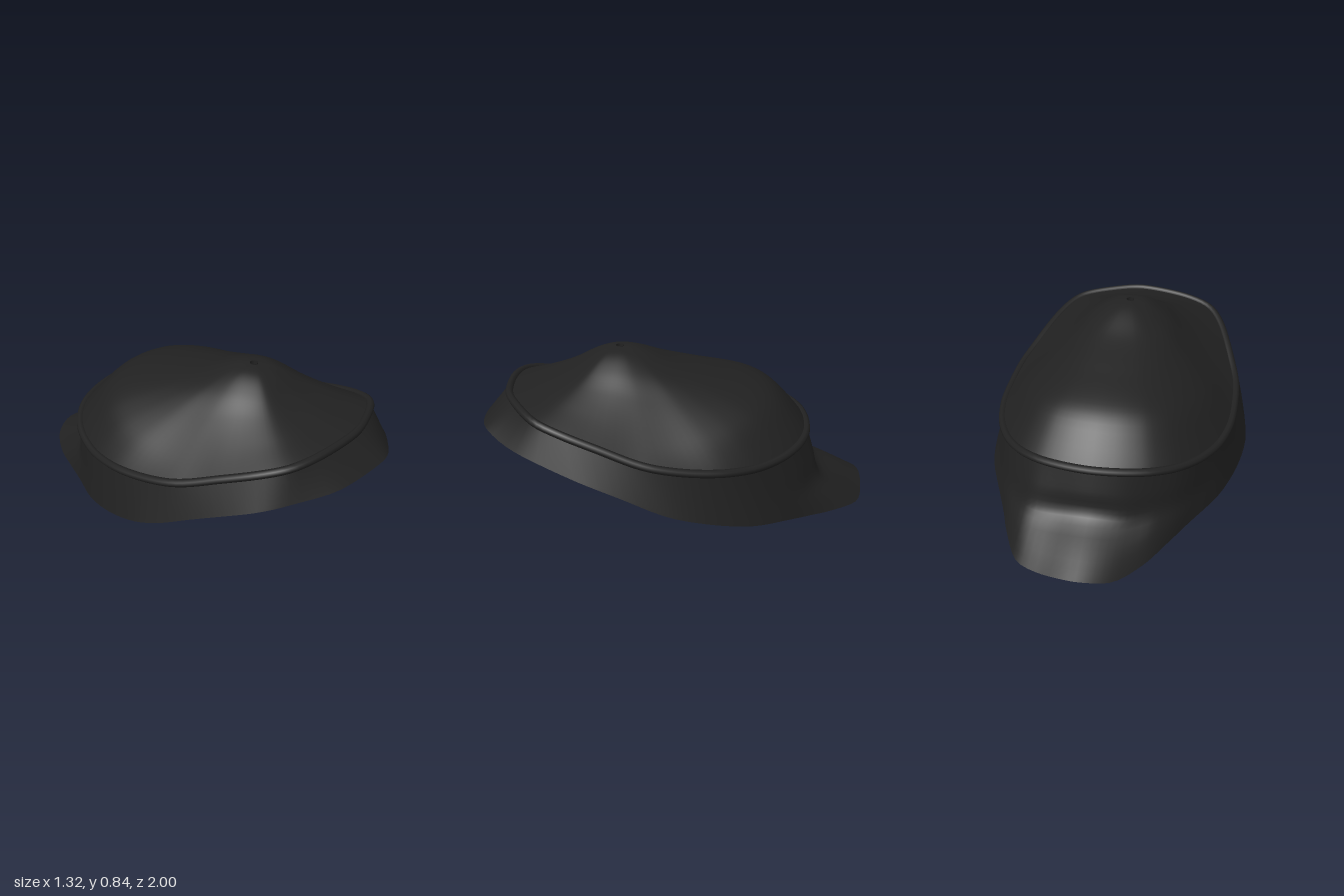
import * as THREE from 'three';

const COLS = 104;
const PEAK = new THREE.Vector3(0, 0.845, 0.3);
const THICKNESS = 0.03;

// Smooth interpolation through [position, value] pairs
function curveThrough(pts) {
  const slope = (i) => {
    const a = pts[Math.max(0, i - 1)], b = pts[Math.min(pts.length - 1, i + 1)];
    return (b[1] - a[1]) / (b[0] - a[0]);
  };
  return (x) => {
    let i = 0;
    while (i < pts.length - 2 && x > pts[i + 1][0]) i++;
    const [x0, y0] = pts[i], [x1, y1] = pts[i + 1], d = x1 - x0;
    const s = THREE.MathUtils.clamp((x - x0) / d, 0, 1), s2 = s * s, s3 = s2 * s;
    return (2 * s3 - 3 * s2 + 1) * y0 + (s3 - 2 * s2 + s) * d * slope(i)
      + (3 * s2 - 2 * s3) * y1 + (s3 - s2) * d * slope(i + 1);
  };
}

// Crown drop from the peak to the piping, toward the front, sides and back
const dropFront = curveThrough([[0, 0], [0.18, 0.11], [0.45, 0.55], [0.73, 0.83], [1, 1]]);
const dropSide = curveThrough([[0, 0], [0.17, 0.045], [0.35, 0.2], [0.53, 0.43], [0.7, 0.64], [1, 1]]);
const dropBack = curveThrough([[0, 0], [0.1, 0.025], [0.3, 0.2], [0.52, 0.34], [0.74, 0.48], [0.84, 0.6], [0.95, 0.86], [1, 1]]);

// Heights of the piping and of the lower rim along z
const pipingY = curveThrough([[-0.66, 0.415], [-0.5, 0.39], [-0.3, 0.375], [-0.1, 0.385], [0.1, 0.41],
  [0.3, 0.455], [0.5, 0.53], [0.7, 0.6], [0.86, 0.645]]);
const rimY = curveThrough([[-1, 0.03], [-0.95, 0.008], [-0.87, 0.004], [-0.6, 0.035], [-0.4, 0.07], [-0.2, 0.11],
  [0, 0.16], [0.2, 0.22], [0.4, 0.31], [0.6, 0.39], [0.8, 0.46], [0.93, 0.49], [1, 0.52]]);

// Backward sweep of the tail between piping and rim
const tailSweep = curveThrough([[0, 0], [0.3, 0.5], [0.6, 1], [0.8, 0.5], [1, 0]]);

const planCurve = (pts) => new THREE.CatmullRomCurve3(
  pts.map(([x, z]) => new THREE.Vector3(x, 0, z)), true, 'catmullrom', 0.45);

// Rim outline in plan, from the front around the left side and back again
const rimPlan = planCurve([
  [0.06, 0.995], [0.2, 0.96], [0.4, 0.82], [0.54, 0.6], [0.61, 0.38], [0.655, 0.15], [0.655, -0.05],
  [0.62, -0.25], [0.53, -0.45], [0.47, -0.58], [0.42, -0.7], [0.32, -0.88], [0.17, -0.96],
  [0, -1], [-0.15, -0.95], [-0.28, -0.8], [-0.36, -0.66], [-0.45, -0.5], [-0.57, -0.3], [-0.64, -0.1],
  [-0.665, 0.08], [-0.64, 0.25], [-0.57, 0.5], [-0.5, 0.68], [-0.4, 0.8], [-0.2, 0.94],
]);

// Piping outline in plan: one side, mirrored to the other
const pipingSide = [
  [0.2, 0.825], [0.36, 0.755], [0.45, 0.63], [0.53, 0.42], [0.58, 0.25], [0.595, 0.08],
  [0.59, -0.1], [0.55, -0.27], [0.475, -0.42], [0.385, -0.525], [0.27, -0.6], [0.14, -0.64],
];
const pipingPlan = planCurve([
  [0.03, 0.86], ...pipingSide, [0, -0.655], ...pipingSide.map(([x, z]) => [-x, z]).reverse(),
]);

function rimPoint(u) {
  const p = rimPlan.getPoint(u);
  p.y = rimY(p.z);
  return p;
}

function pipingPoint(u) {
  const p = pipingPlan.getPoint(u);
  p.y = pipingY(p.z);
  return p;
}

function crownPoint(u, t) {
  const edge = pipingPoint(u);
  const out = edge.clone().sub(PEAK).setY(0);
  const length = out.length();
  const s = THREE.MathUtils.lerp(0.02 / length, 1, t);
  const dz = out.z / length, w = dz * dz;
  const drop = (1 - w) * dropSide(s) + w * (dz > 0 ? dropFront(s) : dropBack(s));
  return new THREE.Vector3(out.x * s, THREE.MathUtils.lerp(PEAK.y, edge.y, drop), PEAK.z + out.z * s);
}

// Side band, with a concave sweep into the tail at the back
function bandPoint(u, t) {
  const p = pipingPoint(u).lerp(rimPoint(u), t);
  const tail = Math.max(0, -Math.cos(u * Math.PI * 2)) ** 4;
  p.z += 0.14 * tail * tailSweep(t);
  return p;
}

// Inner face of the cloth: under the crown first, then down inside the band
function liningPoint(u, t) {
  const s = Math.max(0, (t - 0.6) / 0.4);
  const p = s > 0 ? bandPoint(u, s) : crownPoint(u, t / 0.6);
  p.x *= 0.957;
  p.z = PEAK.z + (p.z - PEAK.z) * 0.957;
  p.y = THREE.MathUtils.lerp(p.y - THICKNESS, rimY(p.z), s ** 4);
  return p;
}

// Narrow edge joining the outer rim to the lining
const hemPoint = (u, t) => rimPoint(u).lerp(liningPoint(u, 1), t);

// Closed loops of points joined into a smooth surface
function loft(pointAt, rows) {
  const positions = [], index = [];
  for (let i = 0; i <= rows; i++) {
    for (let j = 0; j < COLS; j++) positions.push(...pointAt(j / COLS, i / rows).toArray());
  }
  for (let i = 0; i < rows; i++) {
    for (let j = 0; j < COLS; j++) {
      const k = (j + 1) % COLS;
      const a = i * COLS + j, b = i * COLS + k, c = a + COLS, d = b + COLS;
      index.push(a, c, b, b, c, d);
    }
  }
  const geometry = new THREE.BufferGeometry();
  geometry.setAttribute('position', new THREE.Float32BufferAttribute(positions, 3));
  geometry.setIndex(index);
  geometry.computeVertexNormals();
  return geometry;
}

class PipingPath extends THREE.Curve {
  getPoint(u, target = new THREE.Vector3()) {
    return target.copy(pipingPoint(u));
  }
}

export function createModel() {
  const cap = new THREE.Group();
  cap.name = 'cap';
  const cloth = new THREE.MeshStandardMaterial({ color: 0x212121, side: THREE.DoubleSide });
  cloth.name = 'black cloth';

  const add = (name, geometry) => {
    const mesh = new THREE.Mesh(geometry, cloth);
    mesh.name = name;
    cap.add(mesh);
    return mesh;
  };

  add('crown', loft(crownPoint, 32));
  add('sideBand', loft(bandPoint, 15));
  add('lining', loft(liningPoint, 40));
  add('rimHem', loft(hemPoint, 1));
  add('piping', new THREE.TubeGeometry(new PipingPath(), 120, 0.02, 8, true));

  // Open eyelet at the peak
  const eyelet = add('eyelet', new THREE.CylinderGeometry(0.02, 0.02, THICKNESS, 16, 1, true));
  eyelet.position.set(PEAK.x, PEAK.y - THICKNESS / 2, PEAK.z);
  return cap;
}
